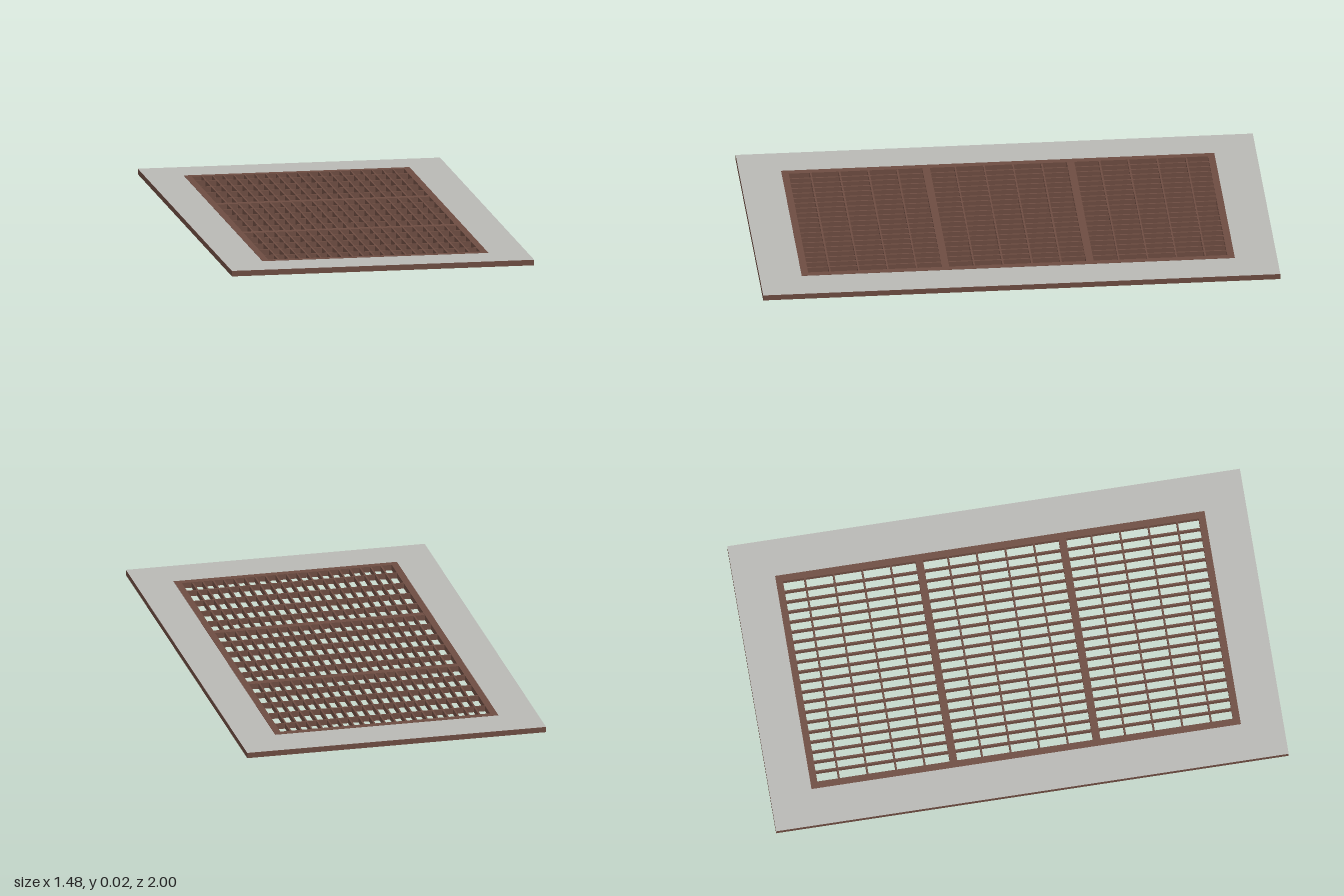
import * as THREE from 'three';

const brown = new THREE.MeshStandardMaterial({ color: 0x6d4c41 });
brown.name = 'brown metal';
const grey = new THREE.MeshStandardMaterial({ color: 0xb8b8b4 });
grey.name = 'grey paving';

const W = 1.057, L = 1.786;            // border slab
const GW = 0.79, GL = 1.496;           // grate, outer
const H = 0.02, RIM = 0.024;
const IW = GW - 2 * RIM, IL = GL - 2 * RIM; // grate, inner

function rectPath(path, w, l) {
  path.moveTo(-w / 2, -l / 2);
  path.lineTo(w / 2, -l / 2);
  path.lineTo(w / 2, l / 2);
  path.lineTo(-w / 2, l / 2);
  path.closePath();
  return path;
}

function ringShape(w, l, holeW, holeL) {
  const shape = rectPath(new THREE.Shape(), w, l);
  shape.holes.push(rectPath(new THREE.Path(), holeW, holeL));
  return shape;
}

// Extruded upwards from y = 0
function ring(w, l, holeW, holeL, height) {
  const g = new THREE.ExtrudeGeometry(ringShape(w, l, holeW, holeL), { depth: height, bevelEnabled: false });
  return g.rotateX(-Math.PI / 2);
}

export function createModel() {
  const model = new THREE.Group();
  model.name = 'floorGrate';
  const body = new THREE.Group();
  body.name = 'grateBody';
  body.rotation.y = THREE.MathUtils.degToRad(14.9);
  model.add(body);

  const add = (name, geometry, material, x = 0, y = 0, z = 0) => {
    const mesh = new THREE.Mesh(geometry, material);
    mesh.name = name;
    mesh.position.set(x, y, z);
    body.add(mesh);
  };

  // Border slab with a grey upper face
  add('borderSlab', ring(W, L, GW, GL, H - 0.001), brown);
  add('borderTop', new THREE.ShapeGeometry(ringShape(W, L, GW, GL)).rotateX(-Math.PI / 2), grey, 0, H - 0.0006, 0);

  // Grate rim, standing slightly proud of the slab
  add('grateRim', ring(GW, GL, IW, IL, H), brown);

  // Cross bars: every fifth one is a wide divider
  const rows = 15;
  for (let i = 1; i < rows; i++) {
    const wide = i % 5 === 0;
    const z = -GL / 2 + (GL * i) / rows;
    add(wide ? 'dividerBar' : 'crossBar',
      new THREE.BoxGeometry(IW, H - 0.0004, wide ? 0.026 : 0.006), brown, 0, H / 2, z);
  }

  // Long slats
  const columns = 20;
  for (let i = 1; i < columns; i++) {
    const x = -IW / 2 + (IW * i) / columns;
    add('longSlat', new THREE.BoxGeometry(0.006, H - 0.0008, IL), brown, x, H / 2, 0);
  }
  return model;
}
